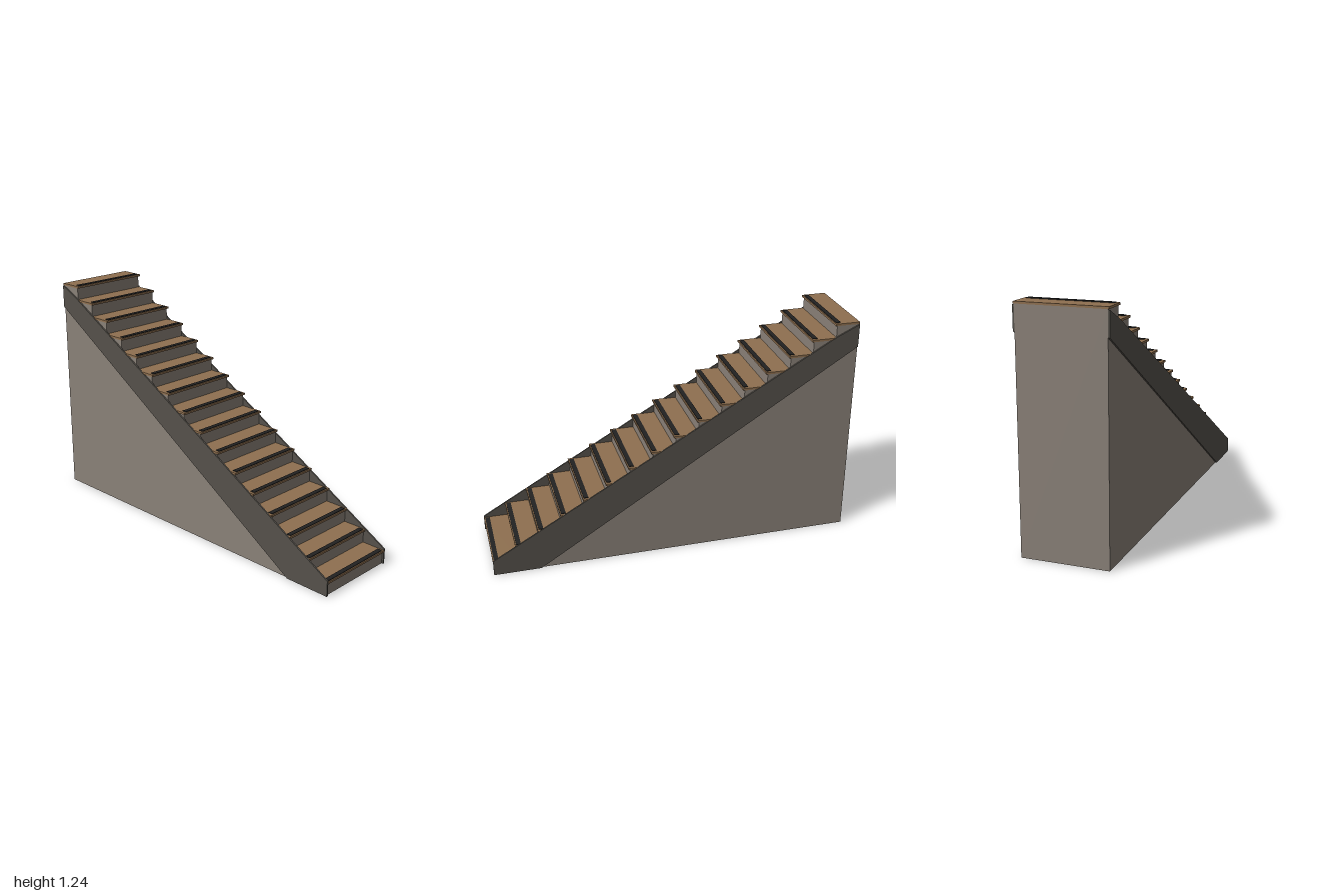
import * as THREE from 'three';

const STEPS = 16, RISE = 0.0774, RUN = 0.1244, NOSE = 0.0096;
const TREAD_T = 0.011, STRIP_T = 0.004;
const BODY_HALF = 0.229, TREAD_HALF = 0.234, OUTER_HALF = 0.2375;

const material = (name, color) => {
  const m = new THREE.MeshStandardMaterial({ color });
  m.name = name;
  return m;
};

// Side profile of [z, y] points, extruded from x0 to x1
function sidePanel(name, points, x0, x1, mat) {
  const shape = new THREE.Shape(points.map(([z, y]) => new THREE.Vector2(-z, y)));
  const geo = new THREE.ExtrudeGeometry(shape, { depth: x1 - x0, bevelEnabled: false });
  geo.rotateY(Math.PI / 2).translate(x0, 0, 0);
  const mesh = new THREE.Mesh(geo, mat);
  mesh.name = name;
  return mesh;
}

function box(name, w, h, d, y, z, mat) {
  const mesh = new THREE.Mesh(new THREE.BoxGeometry(w, h, d), mat);
  mesh.position.set(0, y, z);
  mesh.name = name;
  return mesh;
}

export function createModel() {
  const stone = material('warm grey wall', 0x8a8178);
  const dark = material('dark stringer', 0x55514b);
  const wood = material('brown wood', 0x8f7050);
  const black = material('black grip', 0x222222);

  const model = new THREE.Group();
  model.name = 'staircase';

  // Solid stepped body with the risers
  const profile = [[-1, 0], [1 - NOSE, 0]];
  for (let i = 0; i < STEPS; i++) {
    const y = (i + 1) * RISE - TREAD_T;
    const z = 1 - NOSE - i * RUN;
    profile.push([z, y], [z - RUN, y]);
  }
  model.add(sidePanel('steppedBody', profile, -BODY_HALF, BODY_HALF, stone));

  // Treads with grip strips near the nosing
  const depth = RUN + NOSE;
  for (let i = 0; i < STEPS; i++) {
    const top = (i + 1) * RISE, front = 1 - i * RUN;
    model.add(box('tread', TREAD_HALF * 2, TREAD_T, depth, top - TREAD_T / 2, front - depth / 2, wood));
    model.add(box('gripStrip', 0.436, STRIP_T, 0.025, top + STRIP_T / 2 - 0.0005, front - 0.0185, black));
  }

  // Sloping stringers on both sides
  const stringer = [[1, 0], [1, 0.085], [-0.877, 1.166], [-1, 1.225], [-1, 1.1], [0.745, 0]];
  model.add(sidePanel('leftStringer', stringer, BODY_HALF, OUTER_HALF, dark));
  model.add(sidePanel('rightStringer', stringer, -OUTER_HALF, -BODY_HALF, dark));

  return model;
}
